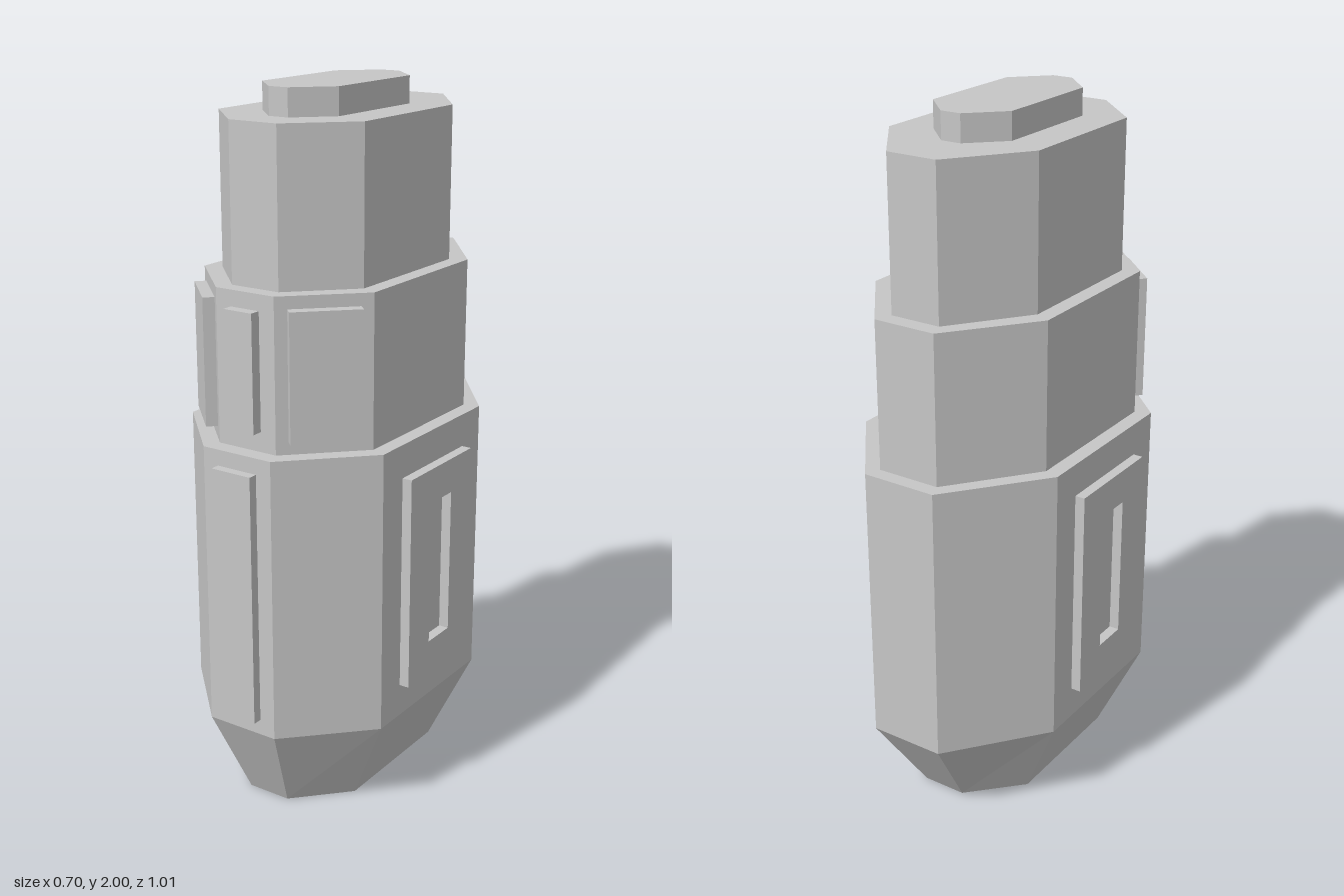
import * as THREE from 'three';

// Eight-sided section: half width w, side corners zf/zb, front and back faces at f/b with half width h
const ring = (y, w, h, f, zf, zb, b) => [
  [h, y, f], [w, y, zf], [w, y, zb], [h, y, b],
  [-h, y, b], [-w, y, zb], [-w, y, zf], [-h, y, f],
];

// Skin consecutive sections with flat faces and close both ends
function loft(rings) {
  const pos = [];
  const tri = (a, b, c) => pos.push(...a, ...b, ...c);
  const first = rings[0], last = rings[rings.length - 1];
  for (let i = 0; i < 8; i++) {
    const j = (i + 1) % 8;
    for (let k = 0; k < rings.length - 1; k++) {
      const lo = rings[k], hi = rings[k + 1];
      tri(lo[i], lo[j], hi[j]);
      tri(lo[i], hi[j], hi[i]);
    }
    tri(first[j], first[i], [0, first[0][1], 0]);
    tri(last[i], last[j], [0, last[0][1], 0]);
  }
  const g = new THREE.BufferGeometry();
  g.setAttribute('position', new THREE.Float32BufferAttribute(pos, 3));
  g.computeVertexNormals();
  return g;
}

export function createModel() {
  const group = new THREE.Group();
  const grey = new THREE.MeshStandardMaterial({ color: 0xc6c6c6 });
  grey.name = 'light grey';
  const add = (name, geometry, x = 0, y = 0, z = 0, turn = 0) => {
    const mesh = new THREE.Mesh(geometry, grey);
    mesh.name = name;
    mesh.position.set(x, y, z);
    mesh.rotation.y = turn;
    group.add(mesh);
  };

  const socket = y => ring(y, 0.122, 0.03, 0.277, 0.182, -0.157, -0.25);
  const lower = y => ring(y, 0.322, 0.11, 0.48, 0.268, -0.238, -0.507);
  const middle = y => ring(y, 0.278, 0.093, 0.432, 0.25, -0.225, -0.464);
  const upper = y => ring(y, 0.232, 0.075, 0.387, 0.229, -0.202, -0.416);

  // Stacked body: tapered base with a socket underneath, two narrower tiers, top peg
  add('lowerBody', loft([socket(0.12), socket(0),
    ring(0, 0.203, 0.065, 0.363, 0.22, -0.19, -0.333), lower(0.265), lower(1.075)]));
  add('middleTier', loft([middle(1.075), middle(1.5)]));
  add('upperTier', loft([upper(1.5), upper(1.925)]));
  add('topPeg', loft([socket(1.925), socket(2)]));

  // Raised front panels
  add('lowerFrontPanel', new THREE.BoxGeometry(0.126, 0.72, 0.04), 0, 0.67, 0.487);
  add('middleFrontPanel', new THREE.BoxGeometry(0.09, 0.325, 0.045), 0, 1.293, 0.441);

  // Side panel outline with a slot cut through it
  const frame = new THREE.Shape();
  frame.moveTo(-0.159, -0.31).lineTo(0.159, -0.31).lineTo(0.159, 0.31).lineTo(-0.159, 0.31).closePath();
  const slot = new THREE.Path();
  slot.moveTo(-0.053, -0.21).lineTo(-0.053, 0.21).lineTo(0.053, 0.21).lineTo(0.053, -0.21).closePath();
  frame.holes.push(slot);
  const sidePanel = new THREE.ExtrudeGeometry(frame, { depth: 0.029, bevelEnabled: false });

  for (const [s, side] of [[1, 'left'], [-1, 'right']]) {
    add(side + 'SidePanel', sidePanel, s * 0.322, 0.67, 0.014, s * Math.PI / 2);
    add(side + 'CornerPanel', new THREE.BoxGeometry(0.192, 0.355, 0.064),
      s * 0.186, 1.288, 0.341, s * Math.atan2(0.182, 0.185));
  }
  return group;
}
